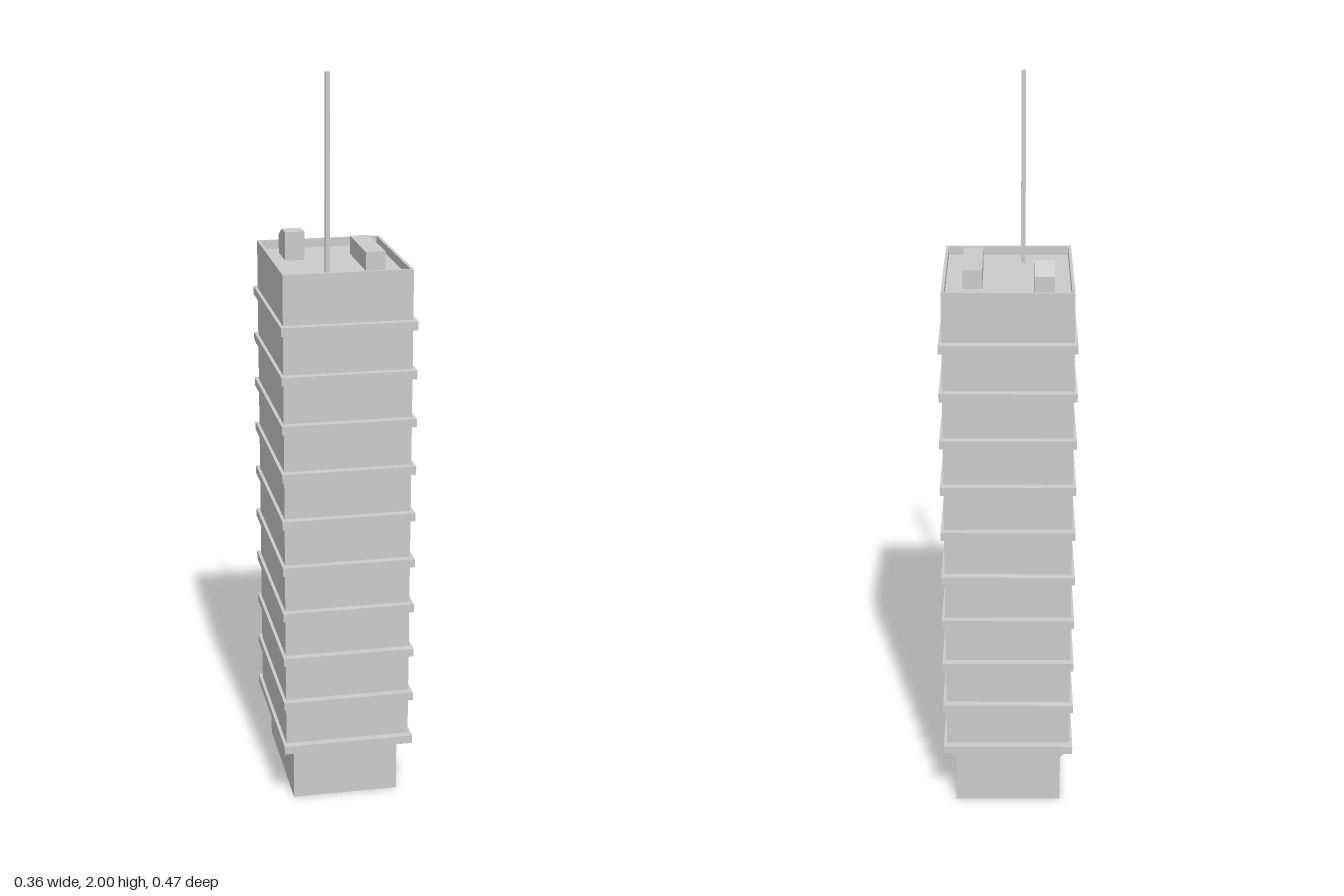
import * as THREE from 'three';

const material = new THREE.MeshStandardMaterial({ color: 0xcccccc, flatShading: true });

export function createModel() {
  const tower = new THREE.Group();
  tower.name = 'tower';

  const add = (name, geometry) => {
    const mesh = new THREE.Mesh(geometry, material);
    mesh.name = name;
    tower.add(mesh);
    return mesh;
  };

  // Box given by its extents on each axis
  const box = (x0, x1, y0, y1, z0, z1) =>
    new THREE.BoxGeometry(x1 - x0, y1 - y0, z1 - z0)
      .translate((x0 + x1) / 2, (y0 + y1) / 2, (z0 + z1) / 2);

  const W = 0.171, D = 0.212;          // half width and depth of the shaft
  const baseW = 0.146, baseFront = 0.184;
  const baseTop = 0.138, shaftBottom = 0.16, roofY = 1.48, topY = 1.504;

  // Recessed ground floor, flush with the shaft at the back
  add('base', box(-baseW, baseW, 0, baseTop, -D, baseFront));

  // Slanted soffit from the base out to the shaft
  const soffit = box(-W, W, baseTop, shaftBottom, -D, D);
  const p = soffit.attributes.position;
  for (let i = 0; i < p.count; i++) {
    if (p.getY(i) > baseTop + 0.01) continue;
    p.setX(i, Math.sign(p.getX(i)) * baseW);
    if (p.getZ(i) > 0) p.setZ(i, baseFront);
  }
  soffit.computeVertexNormals();
  add('soffit', soffit);

  add('shaft', box(-W, W, shaftBottom, roofY, -D, D));

  // Thin parapet around the sunken roof
  const rectangle = (path, w, d) =>
    path.moveTo(-w, -d).lineTo(w, -d).lineTo(w, d).lineTo(-w, d).closePath();
  const rim = rectangle(new THREE.Shape(), W, D);
  rim.holes.push(rectangle(new THREE.Path(), W - 0.008, D - 0.008));
  add('parapet', new THREE.ExtrudeGeometry(rim, { depth: topY - roofY, bevelEnabled: false })
    .rotateX(-Math.PI / 2).translate(0, roofY, 0));

  // Floor ledges, deeper on the front and back
  const ledge = new THREE.BoxGeometry(0.359, 0.023, 0.466);
  for (let i = 0; i < 10; i++) {
    add(`ledge${i + 1}`, ledge).position.y = 0.173 + i * 0.1318;
  }

  // Rooftop housing with a sloping back
  const side = new THREE.Shape([
    [-0.156, roofY], [-0.053, roofY], [-0.053, 1.557], [-0.104, 1.557], [-0.156, 1.53],
  ].map(([z, y]) => new THREE.Vector2(z, y)));
  add('slopedHousing', new THREE.ExtrudeGeometry(side, { depth: 0.053, bevelEnabled: false })
    .rotateY(-Math.PI / 2).translate(-0.067, 0, 0));

  add('longHousing', box(0.067, 0.119, roofY, 1.53, -0.104, 0.106));
  add('mast', box(-0.046, -0.034, roofY, 2, 0.127, 0.139));

  return tower;
}
